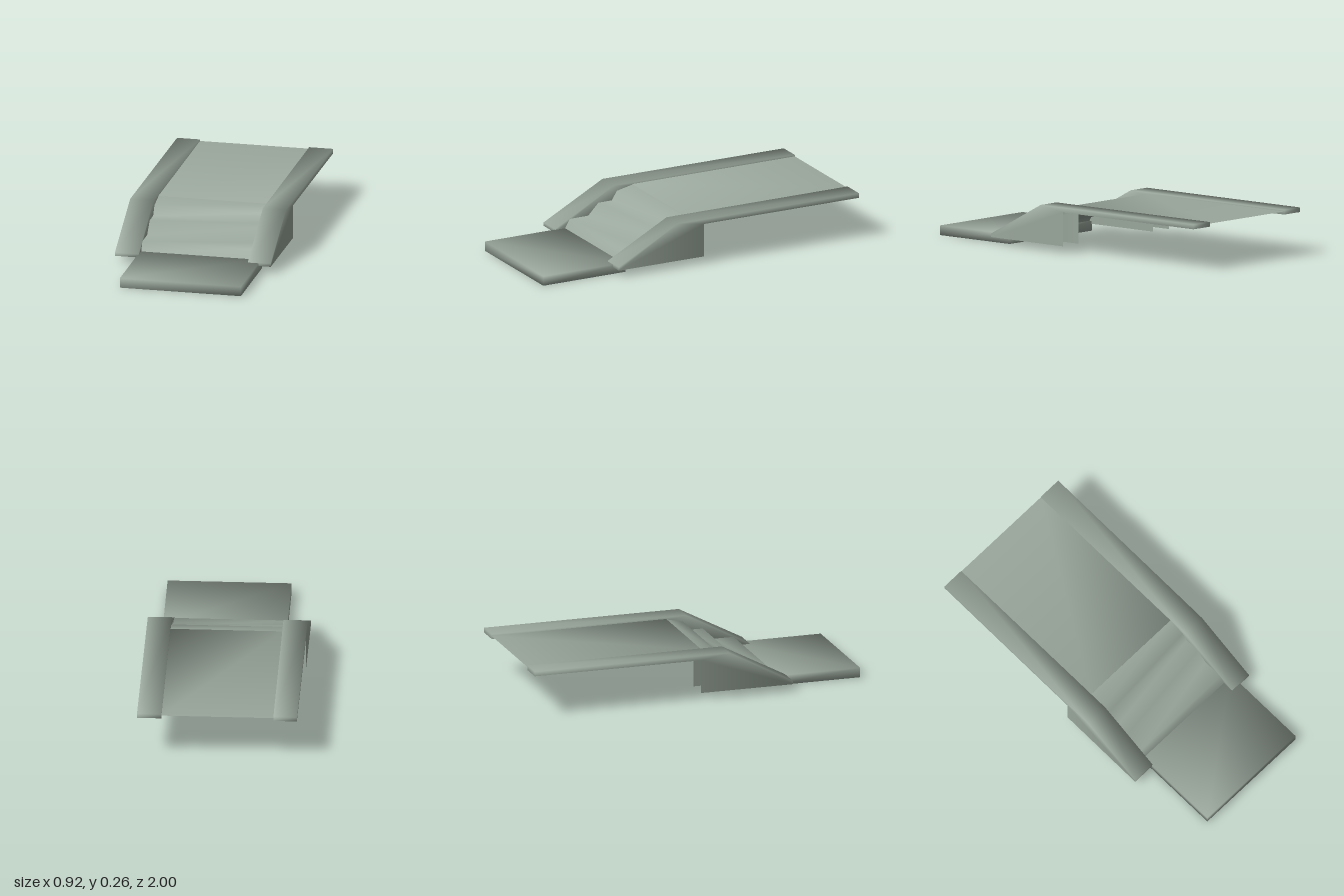
import * as THREE from 'three';
import { mergeVertices } from 'three/addons/utils/BufferGeometryUtils.js';

const stone = new THREE.MeshStandardMaterial({ color: 0x9aa79c, side: THREE.DoubleSide });
stone.name = 'grey green stone';

// Soft shading: every triangle counts equally at a shared corner
function softNormals(geo) {
  const pos = geo.attributes.position, idx = geo.index.array;
  const sums = Array.from({ length: pos.count }, () => new THREE.Vector3());
  const tri = new THREE.Triangle(), n = new THREE.Vector3();
  for (let i = 0; i < idx.length; i += 3) {
    tri.setFromAttributeAndIndices(pos, idx[i], idx[i + 1], idx[i + 2]).getNormal(n);
    for (let k = 0; k < 3; k++) sums[idx[i + k]].add(n);
  }
  const normals = sums.flatMap(v => v.normalize().toArray());
  geo.setAttribute('normal', new THREE.Float32BufferAttribute(normals, 3));
  return geo;
}

// Sheet swept across x along a (z, y) profile; capped adds both side walls
function sheet(profile, xLow, xHigh, spans, capped = false) {
  const pos = [], idx = [];
  const n = profile.length;
  for (const x of [xLow, xHigh]) for (const [z, y] of profile) pos.push(x(z), y, z);
  for (let i = 0; i < spans; i++) {
    idx.push(i, n + i, n + i + 1, i, n + i + 1, i + 1);
  }
  if (capped) {
    const outline = profile.map(([z, y]) => new THREE.Vector2(z, y));
    for (const [a, b, c] of THREE.ShapeUtils.triangulateShape(outline, [])) {
      idx.push(a, b, c, n + a, n + c, n + b);
    }
  }
  const geo = new THREE.BufferGeometry();
  geo.setAttribute('position', new THREE.Float32BufferAttribute(pos, 3));
  geo.setIndex(idx);
  return softNormals(geo);
}

export function createModel() {
  const group = new THREE.Group();
  const add = (name, geo) => {
    const mesh = new THREE.Mesh(geo, stone);
    mesh.name = name;
    group.add(mesh);
    return mesh;
  };
  const at = x => () => x;
  const taper = (back, front) => z => back + (front - back) * (z + 1) / 1.55;

  // Hollow side walls: sloped front, deep under the stairs, thin along the deck
  const wall = [[0.55, 0.04], [0.55, 0.06], [0.17, 0.262], [-1, 0.262],
    [-1, 0.235], [0, 0.235], [0, 0.04]];
  add('leftWall', sheet(wall, at(0.317), taper(0.457, 0.451), 4, true));
  add('rightWall', sheet(wall, taper(-0.456, -0.461), at(-0.322), 4, true));

  // Upper deck with a short front lip
  add('upperDeck', sheet([[0.05, 0.238], [0.05, 0.253], [-1, 0.253]], at(-0.322), at(0.318), 2));

  // Worn steps
  const steps = [[0.488, 0.05], [0.455, 0.107], [0.335, 0.108], [0.27, 0.175],
    [0.183, 0.176], [0.15, 0.228], [0.05, 0.25]];
  add('stairs', sheet(steps, at(-0.322), at(0.318), steps.length - 1));

  // Lower landing slab
  const slab = new THREE.BoxGeometry(0.708, 0.056, 0.53);
  slab.deleteAttribute('normal');
  slab.deleteAttribute('uv');
  add('lowerLanding', softNormals(mergeVertices(slab))).position.set(0.026, 0.028, 0.735);

  return group;
}
